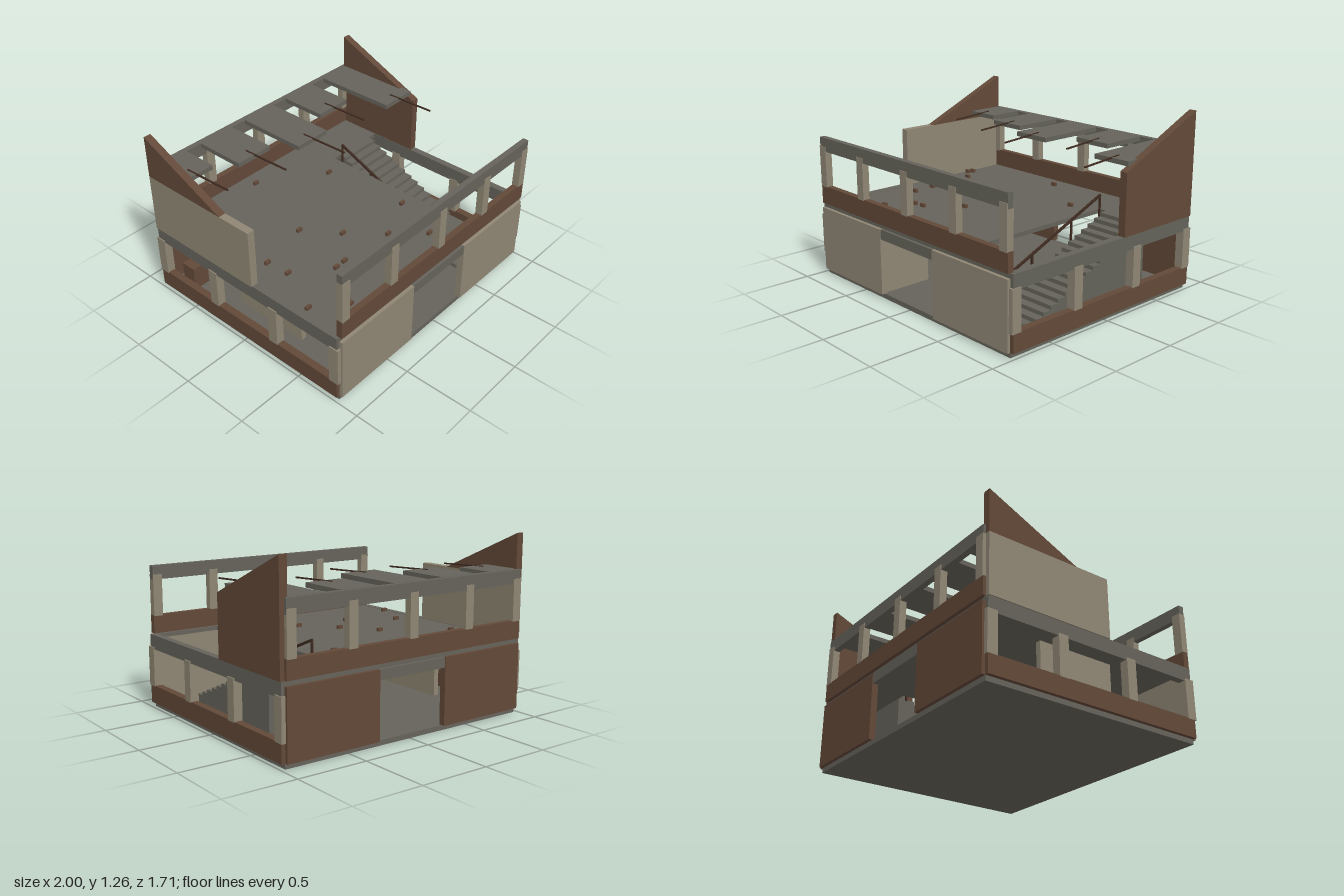
import * as THREE from 'three';

const material = (name, color) => {
  const m = new THREE.MeshStandardMaterial({ color });
  m.name = name;
  return m;
};

export function createModel() {
  const model = new THREE.Group();
  model.name = 'ruinedBuilding';
  const concrete = material('concrete', 0x65635a);
  const plaster = material('plaster', 0x8f8674);
  const brick = material('brick', 0x634939);
  const rust = material('rust', 0x3f2b21);

  // Box given by its limits on each axis
  const box = (name, mat, [x0, x1], [y0, y1], [z0, z1]) => {
    const mesh = new THREE.Mesh(new THREE.BoxGeometry(x1 - x0, y1 - y0, z1 - z0), mat);
    mesh.position.set((x0 + x1) / 2, (y0 + y1) / 2, (z0 + z1) / 2);
    mesh.name = name;
    model.add(mesh);
    return mesh;
  };
  // Square bar between two points
  const bar = (name, a, b, size) => {
    const from = new THREE.Vector3(...a), to = new THREE.Vector3(...b);
    const mesh = new THREE.Mesh(new THREE.BoxGeometry(size, size, from.distanceTo(to)), rust);
    mesh.position.copy(from).add(to).multiplyScalar(0.5);
    mesh.lookAt(to);
    mesh.name = name;
    model.add(mesh);
  };
  const span = (s, a, b) => (s > 0 ? [a, b] : [-b, -a]);

  // Ground slab and upper floor, which leaves the stairwell open
  box('groundSlab', concrete, [-0.97, 0.97], [0, 0.035], [-0.83, 0.83]);
  box('upperFloor', concrete, [-0.97, 0.465], [0.5, 0.53], [-0.83, 0.83]);
  box('stairLanding', concrete, [0.465, 0.97], [0.5, 0.53], [-0.83, -0.5]);
  box('floorEdge', concrete, [0.465, 0.97], [0.5, 0.53], [0.805, 0.83]);

  for (const s of [1, -1]) {
    // Lower front and back walls with a wide doorway
    const wall = s > 0 ? plaster : brick;
    const depth = span(s, 0.81, 0.855);
    box('lowerWall', wall, [-0.97, -0.275], [0.035, 0.5], depth);
    box('lowerWall', wall, [0.275, 0.97], [0.035, 0.5], depth);
    box('doorLintel', concrete, [-0.275, 0.275], [0.43, 0.5], span(s, 0.815, 0.85));

    // Upper front and back window walls
    box('upperParapet', brick, [-0.97, 0.97], [0.535, 0.665], span(s, 0.808, 0.852));
    box('upperBeam', concrete, [-0.968, 0.968], [0.92, 1.018], span(s, 0.808, 0.85));
    for (const x of [-0.935, -0.485, 0, 0.483, 0.933])
      box('upperPier', plaster, [x - 0.034, x + 0.034], [0.66, 0.955], span(s, 0.804, 0.855));

    // Lower side walls with windows
    box('sideParapet', brick, span(s, 0.945, 0.997), [0.035, 0.165], [-0.832, 0.832]);
    box('sideBeam', concrete, span(s, 0.942, 0.992), [0.43, 0.532], [-0.829, 0.829]);
    for (const z of [-0.803, -0.275, 0.282, 0.807])
      box('sidePier', plaster, span(s, 0.938, 1), [0.16, 0.445], [z - 0.037, z + 0.037]);
  }

  // Broken gable walls of the upper storey
  const gable = (name, x, points) => {
    const shape = new THREE.Shape(points.map(([z, y]) => new THREE.Vector2(-z, y)));
    const mesh = new THREE.Mesh(new THREE.ExtrudeGeometry(shape, { depth: 0.055, bevelEnabled: false }), brick);
    mesh.rotation.y = Math.PI / 2;
    mesh.position.x = x;
    mesh.name = name;
    model.add(mesh);
  };
  gable('rightGable', 0.945, [[-0.14, 0.532], [-0.83, 0.532], [-0.83, 1.265], [-0.14, 0.96]]);
  gable('leftGable', -1, [[-0.15, 0.96], [-0.83, 0.96], [-0.83, 1.265]]);
  box('leftUpperWall', plaster, [-1, -0.945], [0.532, 0.96], [-0.83, 0.108]);

  // Remains of the roof: slabs of uneven length with bent bars
  const slabs = [[-0.97, -0.69, -0.545], [-0.56, -0.27, -0.43], [-0.145, 0.14, -0.28],
    [0.27, 0.555, -0.46], [0.685, 0.97, -0.185]];
  for (const [x0, x1, z] of slabs) {
    box('roofSlab', concrete, [x0, x1], [0.987, 1.02], [-0.815, z]);
    const x = (x0 + x1) / 2;
    bar('bentBar', [x - 0.005, 1.021, z - 0.08], [x + 0.023, 1.008, z + 0.275], 0.01);
  }

  // Solid staircase rising toward the back
  for (let i = 0; i < 18; i++) {
    const z = 0.64 - i * 0.0635;
    box('stairStep', concrete, [0.525, 0.865], [0.035, 0.035 + (i + 1) * 0.0275], [z - 0.0635, z]);
  }

  // Handrail and posts
  const railY = z => 0.2 + (0.61 - z) * 0.42;
  bar('handrail', [0.505, railY(0.61), 0.61], [0.505, railY(-0.46), -0.46], 0.015);
  for (const z of [0.56, 0.2, -0.17, -0.455])
    box('railPost', rust, [0.499, 0.511], [Math.max(0.035, railY(z) - 0.16), railY(z)], [z - 0.006, z + 0.006]);

  // Interior partitions and a brick heap
  box('frontPartition', plaster, [-0.33, -0.29], [0.035, 0.5], [0.445, 0.81]);
  box('middlePartition', plaster, [-0.77, -0.73], [0.035, 0.5], [-0.27, 0.315]);
  box('brickHeap', brick, [-0.9, -0.74], [0.035, 0.215], [-0.72, -0.605]);

  // Loose bricks on the upper floor
  const bricks = [[-0.905, -0.51], [-0.915, -0.47], [-0.795, -0.365], [-0.175, -0.7], [0.285, -0.395],
    [-0.375, -0.07], [-0.765, 0.015], [-0.75, 0.19], [-0.2, 0.175], [0.34, 0.26], [-0.5, 0.385],
    [-0.415, 0.38], [0, 0.41], [-0.905, 0.515], [-0.61, 0.57], [0.195, 0.615], [-0.705, 0.685]];
  for (const [x, z] of bricks)
    box('looseBrick', brick, [x - 0.021, x + 0.021], [0.53, 0.555], [z - 0.011, z + 0.011]);

  return model;
}
